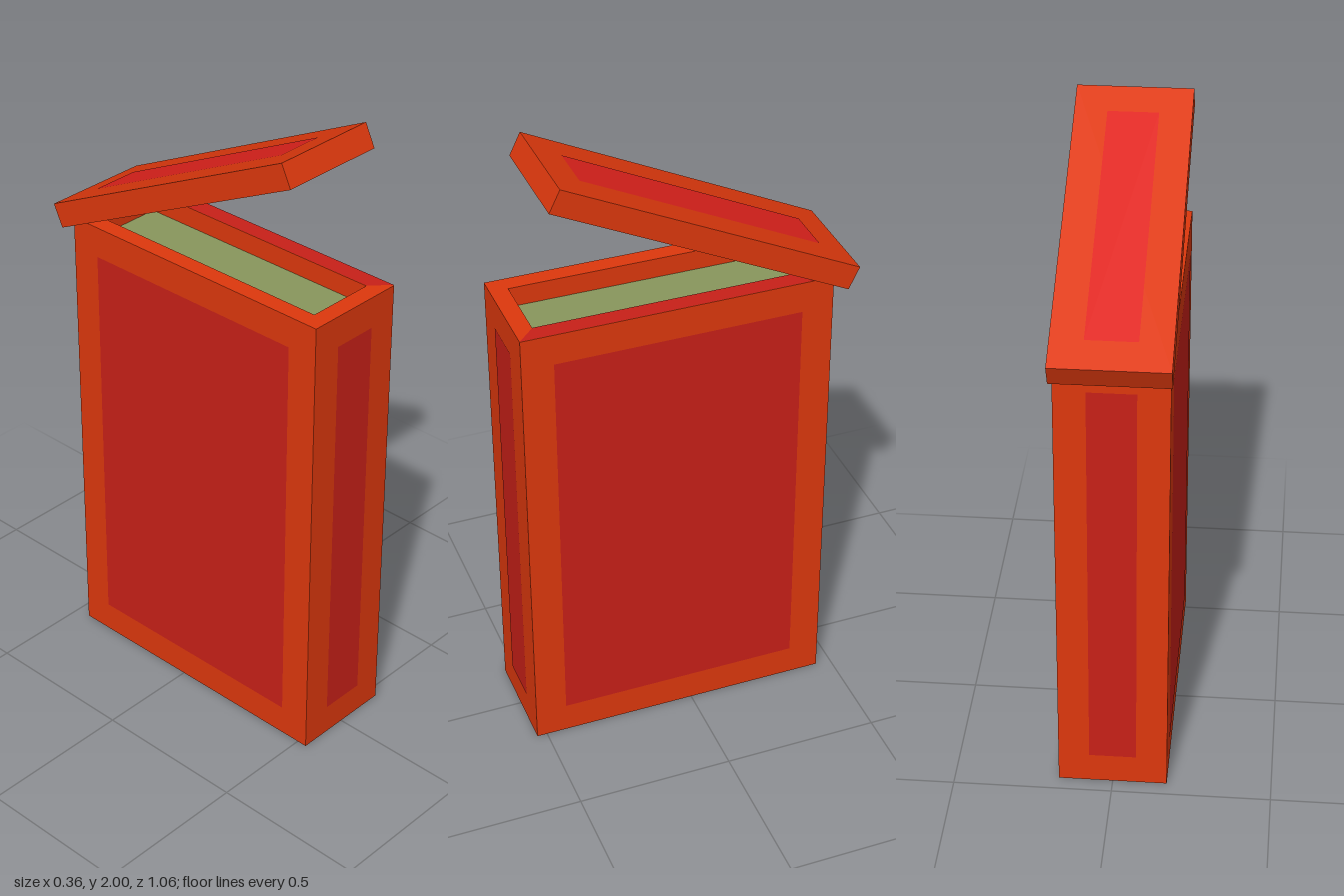
import * as THREE from 'three';

const orange = new THREE.MeshStandardMaterial({ color: 0xdd380d });
const red = new THREE.MeshStandardMaterial({ color: 0xc82018 });
const brightRed = new THREE.MeshStandardMaterial({ color: 0xde221c });
const green = new THREE.MeshStandardMaterial({ color: 0x88965c });
const GAP = 0.0015; // keeps inlays just clear of the face beneath

// Box with a rectangular recess in its top, built from stacked rectangular rings
function trayGeometry(halfW, halfD, height, rim, recess) {
  const rings = [
    [halfW, halfD, 0],
    [halfW, halfD, height],
    [halfW - rim, halfD - rim, height],
    [halfW - rim, halfD - rim, height - recess],
  ].map(([w, d, y]) => [[w, y, d], [w, y, -d], [-w, y, -d], [-w, y, d]]);
  const pos = [];
  const quad = (a, b, c, d) => pos.push(...a, ...b, ...c, ...a, ...c, ...d);
  for (let r = 0; r < 3; r++) {
    for (let i = 0; i < 4; i++) {
      const j = (i + 1) % 4;
      quad(rings[r][i], rings[r][j], rings[r + 1][j], rings[r + 1][i]);
    }
  }
  quad(...rings[3]);
  quad(...[...rings[0]].reverse());
  const geo = new THREE.BufferGeometry();
  geo.setAttribute('position', new THREE.Float32BufferAttribute(pos, 3));
  geo.computeVertexNormals();
  return geo;
}

function add(parent, name, geometry, material, position = [0, 0, 0], rotation = [0, 0, 0]) {
  const mesh = new THREE.Mesh(geometry, material);
  mesh.name = name;
  mesh.position.set(...position);
  mesh.rotation.set(...rotation);
  parent.add(mesh);
  return mesh;
}

export function createModel() {
  const model = new THREE.Group();
  model.name = 'openBox';

  // Tall, narrow body with a shallow opening
  const W = 0.171, D = 0.491, H = 1.525, RIM = 0.057, RECESS = 0.066, INSET = 0.1;
  const body = new THREE.Group();
  body.name = 'body';
  body.position.z = 0.042;
  model.add(body);
  add(body, 'bodyShell', trayGeometry(W, D, H, RIM, RECESS), orange);

  // Contents filling the opening
  const contents = new THREE.PlaneGeometry(2 * (W - RIM), 2 * (D - RIM));
  add(body, 'contents', contents, green, [0, H - RECESS + GAP, 0], [-Math.PI / 2, 0, 0]);

  // Inlaid panels on the four upright faces
  const narrow = new THREE.PlaneGeometry(2 * (W - INSET) + 0.006, H - 2 * INSET);
  const wide = new THREE.PlaneGeometry(2 * (D - INSET), H - 2 * INSET);
  for (const s of [1, -1]) {
    add(body, s > 0 ? 'frontPanel' : 'backPanel', narrow, red,
      [0, H / 2, s * (D + GAP)], [0, s > 0 ? 0 : Math.PI, 0]);
    add(body, s > 0 ? 'leftPanel' : 'rightPanel', wide, red,
      [s * (W + GAP), H / 2, 0], [0, s * Math.PI / 2, 0]);
  }

  // Mitred red strip along the left rim
  const strip = new THREE.Shape([
    [W, -D], [W, D], [W - RIM, D - RIM], [W - RIM, -D + RIM],
  ].map(([x, y]) => new THREE.Vector2(x, y)));
  add(body, 'leftRimStrip', new THREE.ShapeGeometry(strip), red,
    [0, H + GAP, 0], [-Math.PI / 2, 0, 0]);

  // Tilted lid, hollow underneath, with an inlaid panel on top
  const LW = 0.178, LD = 0.5175, LH = 0.078;
  const lid = new THREE.Group();
  lid.name = 'lid';
  lid.position.set(0, 1.7375, -0.0475);
  lid.rotation.x = -0.455;
  model.add(lid);
  add(lid, 'lidShell', trayGeometry(LW, LD, LH, 0.06, 0.042), orange,
    [0, LH / 2, 0], [0, 0, Math.PI]);
  add(lid, 'lidPanel', new THREE.PlaneGeometry(2 * (LW - INSET), 2 * (LD - INSET)), brightRed,
    [0, LH / 2 + GAP, 0], [-Math.PI / 2, 0, 0]);

  return model;
}
